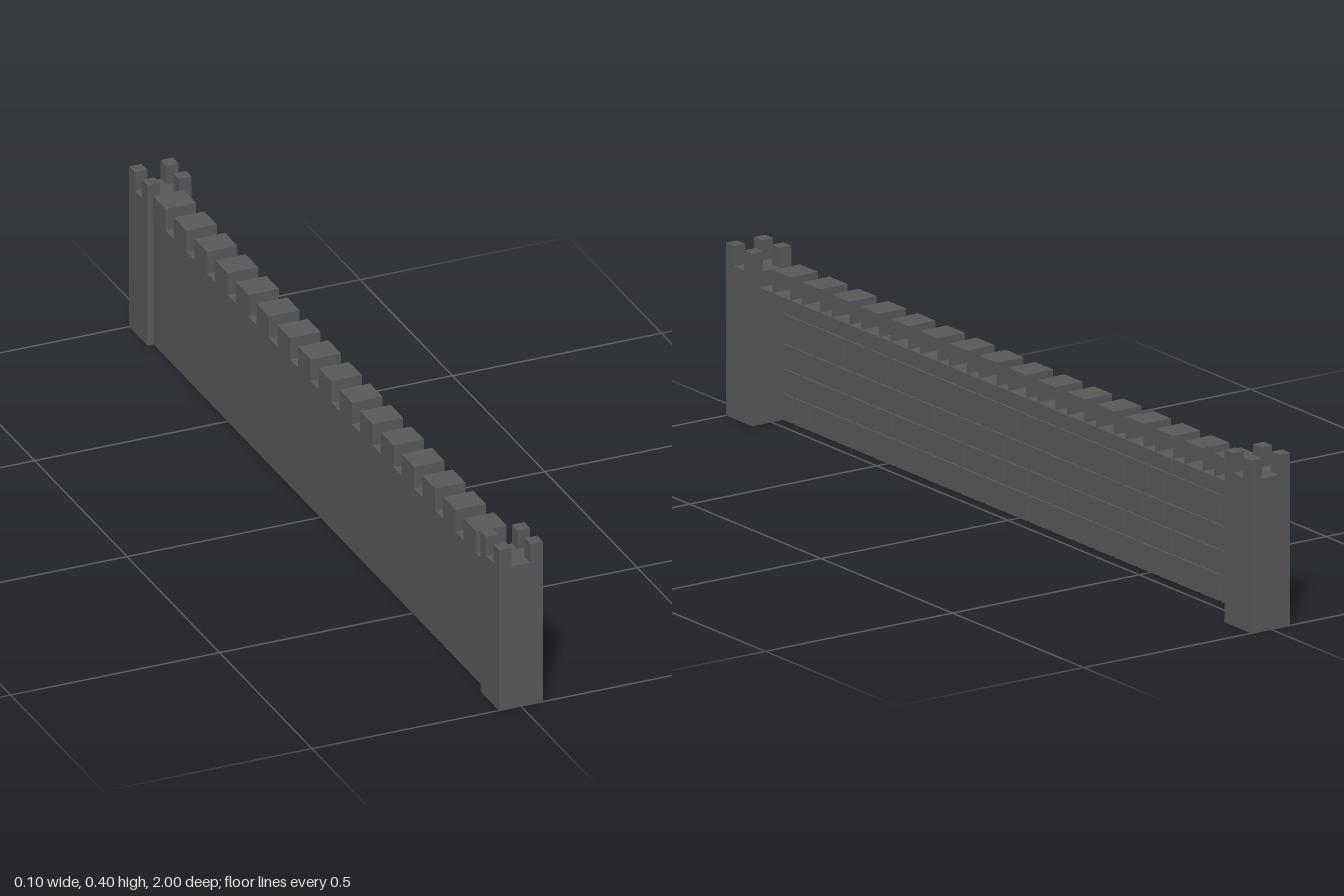
import * as THREE from 'three';

const stone = new THREE.MeshStandardMaterial({ color: 0x58585a, side: THREE.DoubleSide });
stone.name = 'dark stone';

// Box given by its min and max corners
function block(name, x0, x1, y0, y1, z0, z1) {
  const mesh = new THREE.Mesh(new THREE.BoxGeometry(x1 - x0, y1 - y0, z1 - z0), stone);
  mesh.position.set((x0 + x1) / 2, (y0 + y1) / 2, (z0 + z1) / 2);
  mesh.name = name;
  return mesh;
}

// Square end tower with four corner posts
function tower(name, z) {
  const group = new THREE.Group();
  group.name = name;
  const h = 0.0525, d = 0.05, post = 0.03;
  group.add(block('towerShaft', -h, h, 0, 0.349, -d, d));
  for (const sx of [-1, 1]) {
    for (const sz of [-1, 1]) {
      const cx = sx * (h - post / 2), cz = sz * (d - post / 2);
      group.add(block('cornerPost', cx - post / 2, cx + post / 2, 0.349, 0.395,
        cz - post / 2, cz + post / 2));
    }
  }
  group.position.z = z;
  return group;
}

// Battlement block: open towards +x and at its base
function merlon(z) {
  const mesh = block('merlon', -0.04, 0.033, 0.314, 0.367, z - 0.034, z + 0.034);
  const index = Array.from(mesh.geometry.index.array);
  mesh.geometry.setIndex([...index.slice(6, 18), ...index.slice(24)]);
  mesh.geometry.clearGroups();
  return mesh;
}

// Rows of uneven bricks on the +x face of the wall panel
function brickwork() {
  const group = new THREE.Group();
  group.name = 'brickwork';
  let seed = 7;
  const random = () => (seed = (seed * 16807) % 2147483647) / 2147483647;
  const rows = [[0, 0.06], [0.068, 0.117], [0.126, 0.174], [0.183, 0.243], [0.252, 0.312]];
  const gap = 0.008;
  rows.forEach(([y0, y1], row) => {
    let z = 0.9;
    let width = row % 2 ? 0.065 : 0.035;
    while (z > -0.9) {
      let end = z - width;
      if (end < -0.87) end = -0.9;
      group.add(block('brick', -0.035, -0.03, y0, y1, end, z));
      z = end - gap;
      width = 0.055 + random() * 0.035;
    }
  });
  return group;
}

export function createModel() {
  const model = new THREE.Group();
  model.name = 'battlementWall';

  // Thin wall panel with bricks on one side
  model.add(block('wallPanel', -0.038, -0.035, 0, 0.313, -0.9, 0.9));
  model.add(brickwork());

  // Overhanging walkway and its merlons
  model.add(block('walkway', -0.04, 0.033, 0.312, 0.314, -0.9, 0.9));
  const merlons = new THREE.Group();
  merlons.name = 'merlons';
  for (let i = 0; i < 16; i++) merlons.add(merlon(0.815 - i * 0.112));
  model.add(merlons);

  model.add(tower('frontTower', 0.95), tower('backTower', -0.95));
  return model;
}
